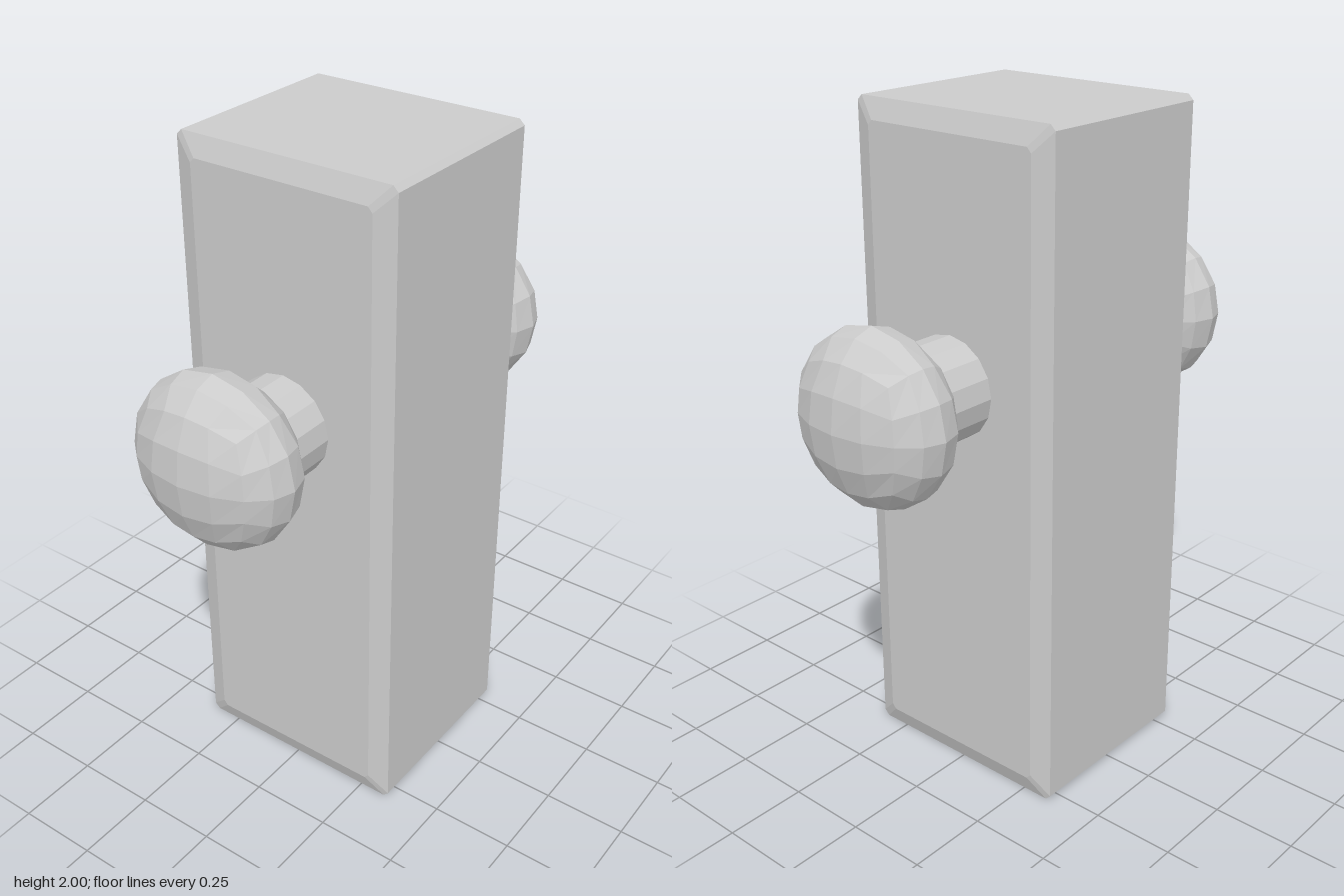
import * as THREE from 'three';

const material = new THREE.MeshStandardMaterial({ color: 0xcccccc, flatShading: true });

function addMesh(group, geometry, name) {
  const mesh = new THREE.Mesh(geometry, material);
  mesh.name = name;
  group.add(mesh);
  return mesh;
}

// Upright block with nipped corners and a wide shallow bevel on front and back
function blockGeometry() {
  const w = 0.35, h = 1, c = 0.016, bevel = 0.022;
  const outline = [
    [w - c, -h], [w, -h + c], [w, h - c], [w - c, h],
    [-w + c, h], [-w, h - c], [-w, -h + c], [-w + c, -h],
  ].map(([x, y]) => new THREE.Vector2(x, y));
  const depth = 0.588;
  const geo = new THREE.ExtrudeGeometry(new THREE.Shape(outline), {
    depth, bevelEnabled: true, bevelThickness: bevel, bevelSize: 0, bevelSegments: 1,
  });
  // Shrink the outermost faces to form the sloped border
  const p = geo.attributes.position;
  for (let i = 0; i < p.count; i++) {
    const z = p.getZ(i);
    if (z < -bevel / 2 || z > depth + bevel / 2) {
      p.setX(i, p.getX(i) * 0.29 / w);
      p.setY(i, p.getY(i) * 0.94);
    }
  }
  geo.translate(0, h, -0.29);
  geo.computeVertexNormals();
  return geo;
}

// Cube subdivided into a flattened ball, fuller on the side facing the block
function knobGeometry() {
  const geo = new THREE.BoxGeometry(2, 2, 2, 4, 4, 4);
  const p = geo.attributes.position;
  const v = new THREE.Vector3();
  for (let i = 0; i < p.count; i++) {
    v.fromBufferAttribute(p, i);
    v.set(...v.toArray().map((a) => Math.tan(a * Math.PI / 4))).normalize();
    const z = v.z < 0 ? Math.max(v.z * 1.08, -0.97) : v.z;
    p.setXYZ(i, v.x * 0.257, v.y * 0.255, z * 0.157);
  }
  geo.computeVertexNormals();
  return geo;
}

export function createModel() {
  const model = new THREE.Group();
  model.name = 'doubleKnobBlock';
  addMesh(model, blockGeometry(), 'block');

  const knob = knobGeometry();
  const shaft = new THREE.CylinderGeometry(0.15, 0.15, 0.24, 16);
  shaft.rotateX(Math.PI / 2);

  // One shaft and knob on each face; the front knob sits slightly higher
  for (const [side, name, knobY] of [[1, 'front', 1.265], [-1, 'back', 1.235]]) {
    const handle = new THREE.Group();
    handle.name = name + 'Handle';
    handle.rotation.y = side > 0 ? 0 : Math.PI;
    addMesh(handle, shaft, name + 'Shaft').position.set(0, 1.24, 0.4);
    addMesh(handle, knob, name + 'Knob').position.set(0, knobY, 0.6);
    model.add(handle);
  }
  return model;
}
